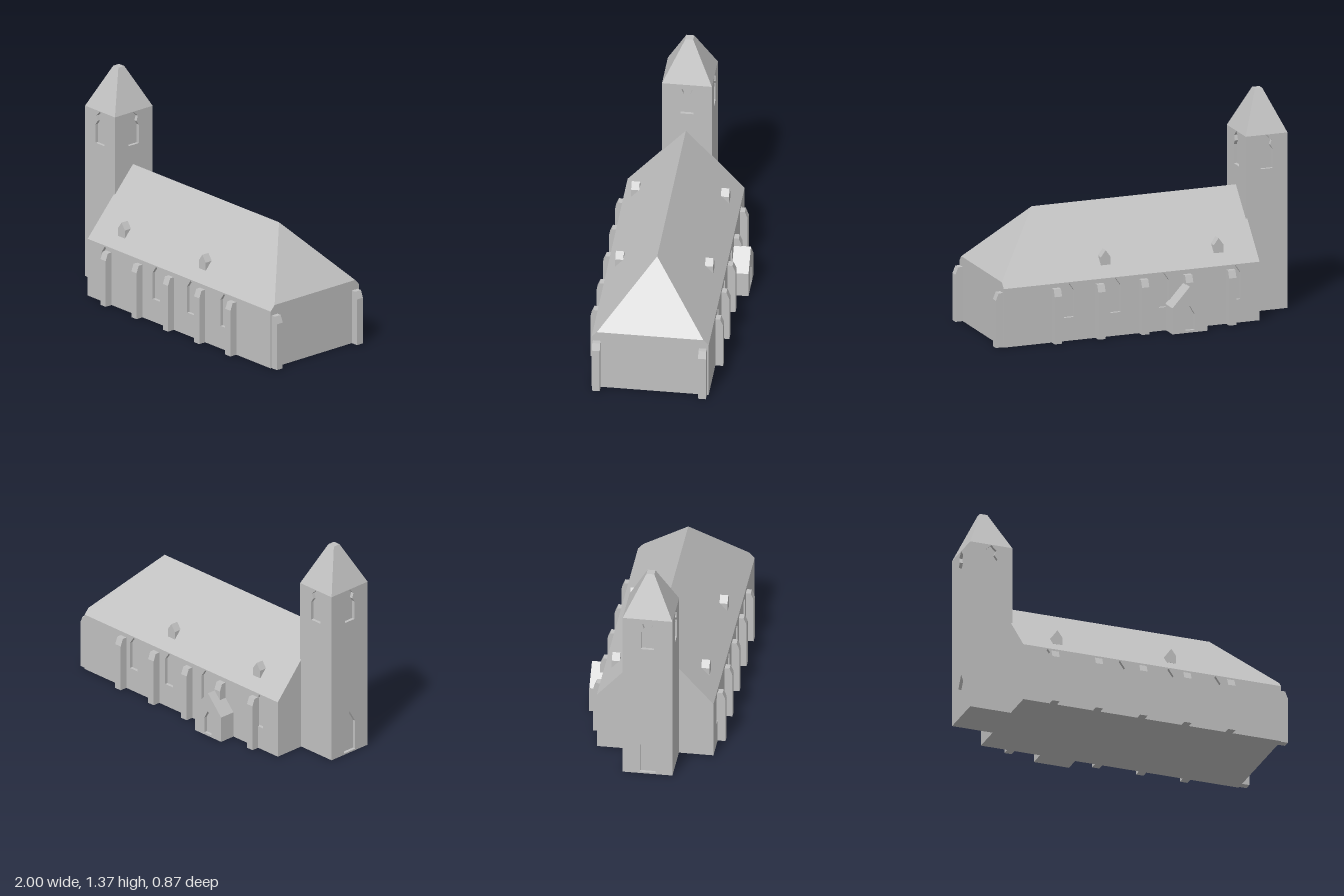
import * as THREE from 'three';
import { ConvexGeometry } from 'three/addons/geometries/ConvexGeometry.js';

const RECESS = 0.02;
const FRONT = 0.385, BACK = -0.335, MID = 0.025, WEST = -0.735, EAST = 0.95, EAVE = 0.37;

export function createModel() {
  const stone = new THREE.MeshStandardMaterial({ color: 0xc0c0c0 });
  stone.name = 'stone grey';
  const model = new THREE.Group();
  model.name = 'church';

  const add = (name, geometry, x = 0, y = 0, z = 0, turn = 0) => {
    const mesh = new THREE.Mesh(geometry, stone);
    mesh.name = name;
    mesh.position.set(x, y, z);
    mesh.rotation.y = turn;
    model.add(mesh);
    return mesh;
  };
  const v2 = (points) => points.map(([x, y]) => new THREE.Vector2(x, y));
  const hull = (points) => new ConvexGeometry(points.map((p) => new THREE.Vector3(...p)));
  // Block between two x, y and z limits
  const block = (name, x0, x1, y0, y1, z0, z1) =>
    add(name, new THREE.BoxGeometry(x1 - x0, y1 - y0, z1 - z0), (x0 + x1) / 2, (y0 + y1) / 2, (z0 + z1) / 2);
  // Flat outline extruded along z, centred on z = 0, optionally pierced
  const slab = (outline, depth, holes = []) => {
    const shape = new THREE.Shape(v2(outline));
    holes.forEach((h) => shape.holes.push(new THREE.Path(v2(h))));
    return new THREE.ExtrudeGeometry(shape, { depth, bevelEnabled: false }).translate(0, 0, -depth / 2);
  };
  const wall = (x0, x1, y1, holes) => slab([[x0, 0], [x1, 0], [x1, y1], [x0, y1]], RECESS, holes);
  // Pointed opening: half width, sill, shoulder and tip heights
  const lancet = (x, h, sill, shoulder, tip) =>
    [[x - h, sill], [x + h, sill], [x + h, shoulder], [x, tip], [x - h, shoulder]];

  // Nave: solid core with pierced walls in front and behind
  block('naveCore', WEST, EAST, 0, EAVE, BACK + RECESS, FRONT - RECESS);
  const windowX = [-0.575, -0.104, 0.214, 0.521];
  const windows = windowX.map((x) => lancet(x, 0.033, 0.147, 0.318, 0.365));
  add('naveFrontWall', wall(WEST, EAST, EAVE, windows), 0, 0, FRONT - RECESS / 2);
  add('naveBackWall', wall(WEST, EAST, EAVE, windows), 0, 0, BACK + RECESS / 2);

  // Roof: gable against the tower, hip at the far end
  add('naveRoof', hull([
    [WEST, EAVE, FRONT], [WEST, EAVE, BACK], [WEST, 0.77, MID], [0.62, 0.77, MID],
    [EAST, 0.405, 0.353], [EAST, 0.405, -0.303], [EAST, EAVE, FRONT], [EAST, EAVE, BACK],
  ]));

  // Buttresses with sloping tops
  const buttress = slab([[-0.01, 0], [0.048, 0], [0.048, 0.298], [0.03, 0.343], [-0.01, 0.343]], 0.048);
  for (const x of [-0.539, -0.255, 0.035, 0.323, 0.61]) {
    add('frontButtress', buttress, x, 0, FRONT, -Math.PI / 2);
    add('backButtress', buttress, x, 0, BACK, Math.PI / 2);
  }
  for (const z of [0.353, -0.3]) add('endButtress', buttress, EAST, 0, z);

  // Roof dormers
  const dormer = slab(lancet(0, 0.031, 0.435, 0.487, 0.53), 0.05);
  for (const x of [-0.489, 0.255]) {
    add('frontDormer', dormer, x, 0, 0.302);
    add('backDormer', dormer, x, 0, -0.25);
  }

  // Porch on the back, with a recessed doorway
  const px = -0.233;
  const gable = lancet(0, 0.115, 0, 0.165, 0.29);
  add('porchCore', slab(gable, 0.095), px, 0, -0.3725);
  add('porchGable', slab(gable, RECESS, [lancet(0, 0.03, 0.015, 0.115, 0.17)]), px, 0, -0.43);

  // Tower: core and four pierced walls
  const tx0 = -1, tx1 = -0.725, tz0 = -0.135, tz1 = 0.172, top = 1.11;
  const tx = (tx0 + tx1) / 2, tz = (tz0 + tz1) / 2;
  const hw = (tx1 - tx0) / 2, hd = (tz1 - tz0) / 2 - RECESS;
  block('towerCore', tx0 + RECESS, tx1 - RECESS, 0, top, tz0 + RECESS, tz1 - RECESS);
  const belfry = [
    [-0.041, 0.895], [0.041, 0.895], [0.041, 1.015], [0.022, 1.043], [0.033, 1.075],
    [0, 1.108], [-0.033, 1.075], [-0.022, 1.043], [-0.041, 1.015],
  ];
  const door = lancet(0, 0.048, 0.01, 0.2, 0.28);
  add('towerFrontWall', wall(-hw, hw, top, [belfry]), tx, 0, tz1 - RECESS / 2);
  add('towerBackWall', wall(-hw, hw, top, [belfry]), tx, 0, tz0 + RECESS / 2);
  add('towerInnerWall', wall(-hd, hd, top, [belfry]), tx1 - RECESS / 2, 0, tz, Math.PI / 2);
  add('towerDoorWall', wall(-hd, hd, top, [belfry, door]), tx0 + RECESS / 2, 0, tz, -Math.PI / 2);

  // Spire with a small flat top
  const spire = [];
  for (const x of [tx0, tx1]) for (const z of [tz0, tz1]) spire.push([x, top, z]);
  for (const x of [-0.887, -0.839]) for (const z of [-0.005, 0.043]) spire.push([x, 1.37, z]);
  add('spire', hull(spire));

  return model;
}
